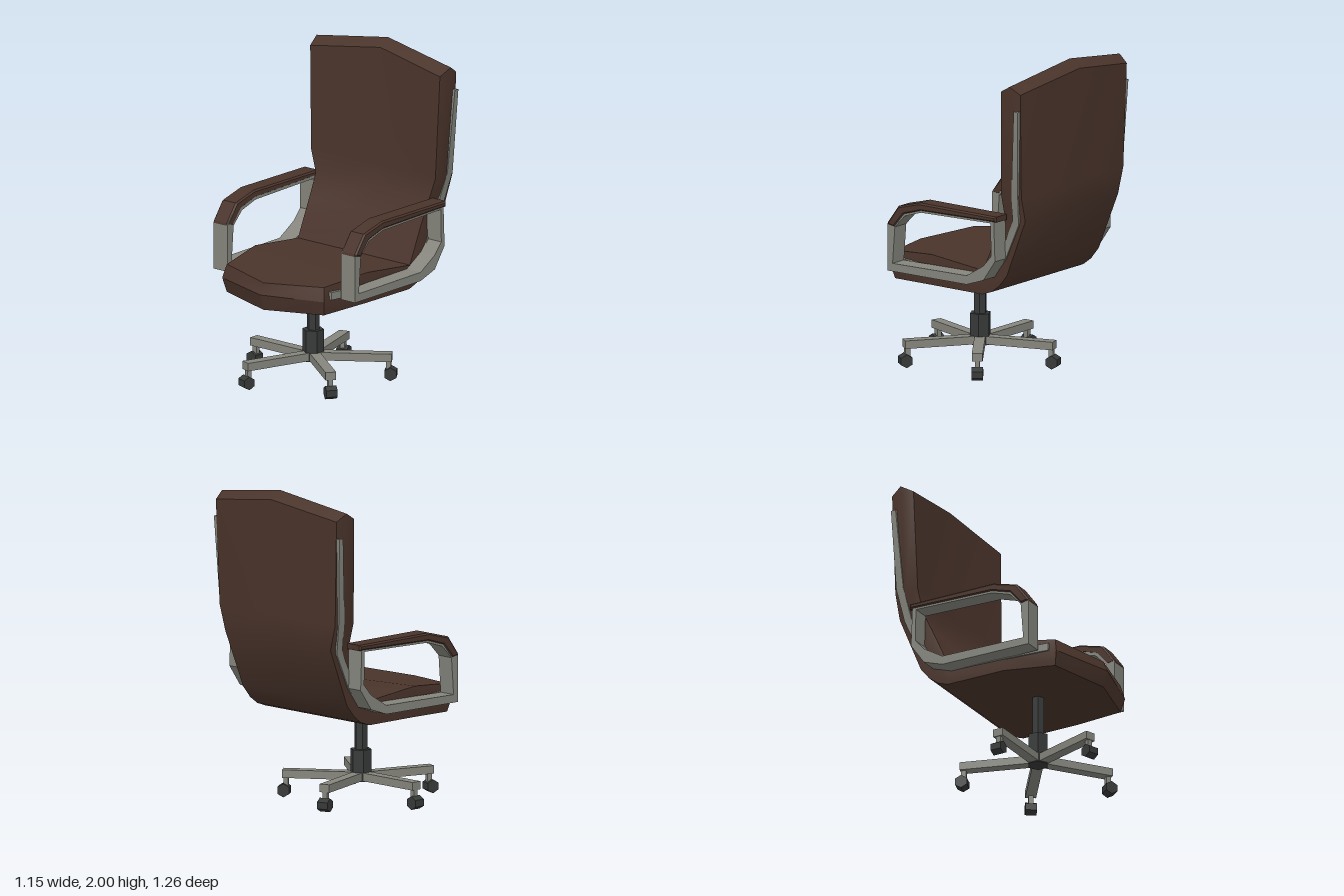
import * as THREE from 'three';
import { toCreasedNormals } from 'three/addons/utils/BufferGeometryUtils.js';

const material = (name, color) => Object.assign(new THREE.MeshStandardMaterial({ color }), { name });

function mesh(name, geometry, mat, parent, x = 0, y = 0, z = 0) {
  const m = new THREE.Mesh(geometry, mat);
  m.name = name;
  m.position.set(x, y, z);
  parent.add(m);
  return m;
}

// Skin equal-length rings of [x, y, z] points, optionally closing both ends
function loft(rings, capped) {
  const n = rings[0].length, index = [];
  for (let s = 0; s < rings.length - 1; s++) {
    for (let i = 0; i < n; i++) {
      const a = s * n + i, b = s * n + (i + 1) % n;
      index.push(a, b, b + n, a, b + n, a + n);
    }
  }
  if (capped) {
    const e = (rings.length - 1) * n;
    for (let i = 1; i < n - 1; i++) index.push(0, i + 1, i, e, e + i, e + i + 1);
  }
  const g = new THREE.BufferGeometry();
  g.setAttribute('position', new THREE.Float32BufferAttribute(rings.flat(2), 3));
  g.setIndex(index);
  return toCreasedNormals(g, 0.55);
}

// Extrude a [z, y] outline sideways between two x positions
function sideExtrude(outline, hole, x0, x1, bevel) {
  const pts = (list) => list.map(([z, y]) => new THREE.Vector2(z, y));
  const shape = new THREE.Shape(pts(outline));
  if (hole) shape.holes.push(new THREE.Path(pts(hole)));
  const g = new THREE.ExtrudeGeometry(shape, {
    depth: x1 - x0 - 2 * bevel, bevelEnabled: bevel > 0, bevelThickness: bevel,
    bevelSize: bevel, bevelOffset: -bevel, bevelSegments: 1,
  });
  return g.rotateY(-Math.PI / 2).translate(x1 - bevel, 0, 0);
}

export function createModel() {
  const chair = new THREE.Group();
  chair.name = 'officeChair';
  const leather = material('brown leather', 0x4a342b);
  const metal = material('grey metal', 0x85857d);
  const dark = material('dark plastic', 0x373838);

  // One-piece seat and backrest: half width, ridge half width,
  // then [z, y] of the sitting side (edge, centre) and the rear side (edge, centre)
  const stations = [
    [0.41, 0.41, [0.51, 0.635], [0.63, 0.63], [0.51, 0.635], [0.63, 0.63]],
    [0.39, 0.41, [0.49, 0.72], [0.60, 0.70], [0.49, 0.545], [0.60, 0.53]],
    [0.45, 0.457, [0.16, 0.755], [0.16, 0.735], [0.16, 0.565], [0.16, 0.56]],
    [0.45, 0.457, [-0.235, 0.715], [-0.235, 0.715], [-0.23, 0.565], [-0.23, 0.565]],
    [0.45, 0.457, [-0.255, 0.76], [-0.26, 0.76], [-0.30, 0.59], [-0.30, 0.59]],
    [0.45, 0.457, [-0.29, 0.84], [-0.30, 0.84], [-0.36, 0.635], [-0.36, 0.635]],
    [0.45, 0.457, [-0.34, 0.95], [-0.36, 0.95], [-0.42, 0.71], [-0.425, 0.71]],
    [0.455, 0.463, [-0.405, 1.09], [-0.45, 1.09], [-0.565, 1.07], [-0.595, 1.09]],
    [0.50, 0.512, [-0.413, 1.23], [-0.46, 1.23], [-0.57, 1.23], [-0.605, 1.23]],
    [0.522, 0.54, [-0.43, 1.875], [-0.48, 1.95], [-0.58, 1.875], [-0.625, 1.95]],
    [0.54, 0.54, [-0.51, 1.92], [-0.55, 2.0], [-0.51, 1.92], [-0.55, 2.0]],
  ];
  const rings = stations.map(([w, r, fe, fc, be, bc]) => {
    const my = (fe[1] + be[1]) / 2, mz = (fe[0] + be[0]) / 2;
    return [
      [-w, fe[1], fe[0]], [0, fc[1], fc[0]], [w, fe[1], fe[0]], [r, my, mz],
      [w, be[1], be[0]], [0, bc[1], bc[0]], [-w, be[1], be[0]], [-r, my, mz],
    ];
  });
  mesh('seatAndBackrest', loft(rings), leather, chair);

  // Left side: armrest pad, armrest loop and frame rail
  const left = new THREE.Group();
  left.name = 'leftSide';
  mesh('armPad', sideExtrude([
    [0.41, 0.93], [0.405, 0.945], [0.325, 1.055], [0.16, 1.1], [-0.43, 1.1],
    [-0.43, 1.065], [0.15, 1.05], [0.28, 1.01], [0.355, 0.92],
  ], null, 0.455, 0.575, 0.01), leather, left);
  mesh('armLoop', sideExtrude([
    [0.408, 0.64], [0.408, 0.935], [0.32, 1.04], [0.16, 1.085], [-0.41, 1.085],
    [-0.42, 0.82], [-0.33, 0.69], [-0.2, 0.645],
  ], [
    [0.37, 0.69], [0.352, 0.92], [0.275, 1.0], [0.15, 1.04], [-0.385, 1.055],
    [-0.39, 0.85], [-0.33, 0.78], [-0.2, 0.70],
  ], 0.456, 0.568, 0), metal, left);

  // Rail along the cushion edge: z, y, outer x
  const rail = [
    [0.46, 0.665, 0.425], [0.2, 0.66, 0.461], [-0.2, 0.67, 0.464], [-0.32, 0.72, 0.464],
    [-0.4, 0.83, 0.464], [-0.5, 1.05, 0.468], [-0.53, 1.25, 0.516], [-0.56, 1.77, 0.543],
  ];
  const railRings = rail.map(([z, y, x], i) => {
    const p = rail[Math.max(i - 1, 0)], q = rail[Math.min(i + 1, rail.length - 1)];
    const len = Math.hypot(q[0] - p[0], q[1] - p[1]);
    const half = i === rail.length - 1 ? 0.016 : 0.024;
    const dz = (q[1] - p[1]) / len * half, dy = -(q[0] - p[0]) / len * half;
    return [[x - 0.05, y + dy, z + dz], [x, y + dy, z + dz],
      [x, y - dy, z - dz], [x - 0.05, y - dy, z - dz]];
  });
  mesh('frameRail', loft(railRings, true), metal, left);
  const right = left.clone();
  right.name = 'rightSide';
  right.scale.x = -1;
  chair.add(left, right);

  // Gas column and five-spoke base
  const base = new THREE.Group();
  base.name = 'base';
  base.position.z = 0.14;
  chair.add(base);
  const hexPost = (r, h) => toCreasedNormals(new THREE.CylinderGeometry(r, r, h, 6), 0.3);
  mesh('column', hexPost(0.04, 0.3), dark, base, 0, 0.42, 0);
  mesh('hub', hexPost(0.066, 0.195), dark, base, 0, 0.2125, 0);

  const spokeGeo = new THREE.BoxGeometry(0.46, 0.05, 0.066);
  const stemGeo = new THREE.BoxGeometry(0.03, 0.08, 0.03);
  const wheelGeo = toCreasedNormals(new THREE.CylinderGeometry(0.042, 0.042, 0.07, 6).rotateX(Math.PI / 2), 0.3);
  for (let i = 0; i < 5; i++) {
    const spoke = new THREE.Group();
    spoke.name = 'spoke' + (i + 1);
    spoke.rotation.y = Math.PI + i * Math.PI * 2 / 5;
    mesh('spokeBar', spokeGeo, metal, spoke, 0.25, 0.145, 0);
    mesh('casterStem', stemGeo, metal, spoke, 0.46, 0.09, 0);
    mesh('casterWheel', wheelGeo, dark, spoke, 0.472, 0.042, 0);
    base.add(spoke);
  }
  return chair;
}
